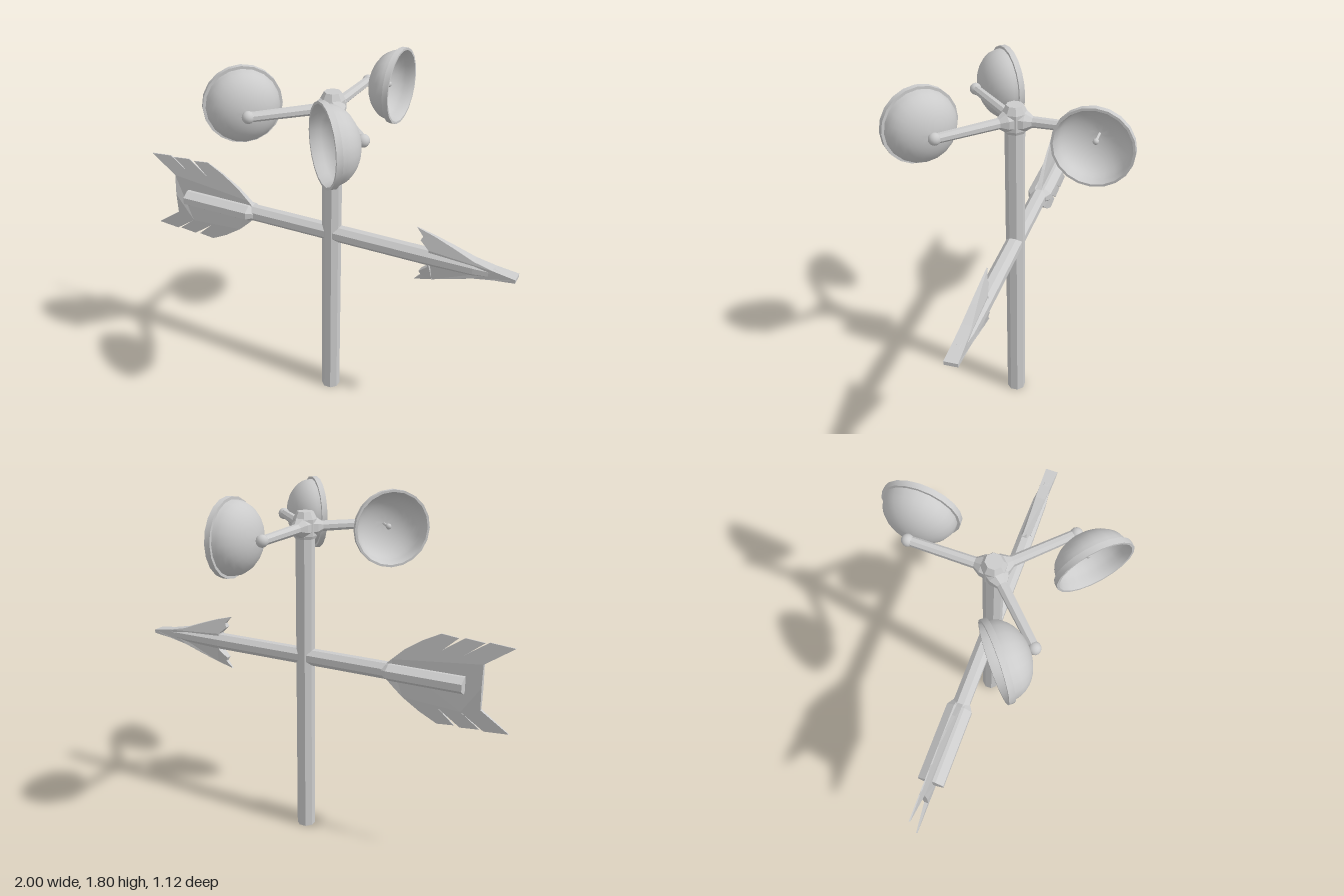
import * as THREE from 'three';
import { toCreasedNormals } from 'three/addons/utils/BufferGeometryUtils.js';

const flat = new THREE.MeshStandardMaterial({ color: 0xcccccc, flatShading: true });
const smooth = new THREE.MeshStandardMaterial({ color: 0xcccccc, side: THREE.DoubleSide });
const PX = 0.065, PZ = 0.02, ARROW_Y = 0.963, ARM_Y = 1.62;

function add(parent, name, geometry, material = flat) {
  const mesh = new THREE.Mesh(geometry, material);
  mesh.name = name;
  parent.add(mesh);
  return mesh;
}

// Eight-sided solid with flats on the axes; profile is [distance along y, half width]
function octagon(profile) {
  const k = 1 / Math.cos(Math.PI / 8);
  const pts = profile.map(([t, r]) => new THREE.Vector2(r * k, t));
  pts.unshift(new THREE.Vector2(0, profile[0][0]));
  pts.push(new THREE.Vector2(0, profile[profile.length - 1][0]));
  return new THREE.LatheGeometry(pts, 8, Math.PI / 8);
}
const alongX = (profile) => octagon(profile).rotateZ(-Math.PI / 2);
const alongBack = (profile) => octagon(profile).rotateX(-Math.PI / 2);

// Mirrored blade from its upper outline, thinning away from the shaft
function blade(upper, core, edge, reach) {
  const lower = upper.slice().reverse().filter(([, y]) => y > 0).map(([x, y]) => [x, -y]);
  const shape = new THREE.Shape(upper.concat(lower).map(([x, y]) => new THREE.Vector2(x, y)));
  const g = new THREE.ExtrudeGeometry(shape, { depth: 2, bevelEnabled: false }).translate(0, 0, -1);
  const p = g.attributes.position;
  for (let i = 0; i < p.count; i++) {
    const f = Math.min(1, Math.abs(p.getY(i)) / reach);
    p.setZ(i, p.getZ(i) * THREE.MathUtils.lerp(core, edge, f));
  }
  return g;
}

// Hollow bowl opening toward +x, with a raised lip
function bowl() {
  const pts = [], n = 10;
  for (let i = 0; i <= n; i++) {
    const a = (i / n) * Math.PI / 2;
    pts.push(new THREE.Vector2(0.172 * Math.sin(a), 0.152 - 0.13 * Math.cos(a)));
  }
  pts.push(new THREE.Vector2(0.185, 0.152), new THREE.Vector2(0.185, 0.18), new THREE.Vector2(0.174, 0.18));
  for (let i = n; i >= 0; i--) {
    const a = (i / n) * Math.PI / 2;
    pts.push(new THREE.Vector2(0.164 * Math.sin(a), 0.152 - 0.12 * Math.cos(a)));
  }
  return toCreasedNormals(new THREE.LatheGeometry(pts, 20).rotateZ(-Math.PI / 2), 0.6);
}

// Arm pointing back, with a cup at its end
function cupArm(angle, twist) {
  const arm = new THREE.Group();
  arm.name = 'cupArm';
  add(arm, 'armRod', alongBack([[0.02, 0.05], [0.052, 0.045], [0.085, 0.024], [0.4, 0.021]]));

  const cup = new THREE.Group();
  cup.name = 'cup';
  cup.position.z = -0.395;
  cup.rotation.y = THREE.MathUtils.degToRad(twist);
  add(cup, 'armEndBall', new THREE.SphereGeometry(0.029, 14, 10), smooth);
  add(cup, 'bowl', bowl(), smooth);
  add(cup, 'cupPin', alongX([[0, 0.006], [0.11, 0.006]]));
  add(cup, 'pinBall', new THREE.SphereGeometry(0.014, 10, 8), smooth).position.x = 0.112;
  arm.add(cup);

  arm.position.set(PX, ARM_Y, PZ);
  arm.rotation.y = THREE.MathUtils.degToRad(angle);
  return arm;
}

export function createModel() {
  const model = new THREE.Group();
  model.name = 'windVane';

  // Upright pole and hub
  add(model, 'pole', octagon([[0, 0.044], [1.6, 0.044]])).position.set(PX, 0, PZ);
  add(model, 'hub', octagon([[1.565, 0.048], [1.58, 0.054], [1.66, 0.054], [1.695, 0.037]]))
    .position.set(PX, 0, PZ);

  // Three cups
  model.add(cupArm(0, 0), cupArm(-135, 0), cupArm(135, -5));

  // Wind arrow
  const arrow = new THREE.Group();
  arrow.name = 'arrow';
  arrow.position.set(0, ARROW_Y, PZ);
  add(arrow, 'shaft', alongX([[-0.77, 0.04], [0.58, 0.04], [0.8, 0.036], [0.9, 0.024], [1, 0.006]]));
  add(arrow, 'tailSleeve', alongX([[-0.78, 0.042], [-0.4, 0.042], [-0.365, 0.027]])).scale.z = 1.5;
  add(arrow, 'arrowHead', blade([
    [0.58, 0], [0.58, 0.045], [0.535, 0.085], [0.545, 0.105], [0.51, 0.143],
    [0.6, 0.118], [0.7, 0.083], [0.8, 0.045], [0.9, 0.023], [1, 0.009],
  ], 0.034, 0.003, 0.14));
  add(arrow, 'tailFeathers', blade([
    [-0.86, 0], [-0.86, 0.112], [-1, 0.208], [-0.88, 0.218], [-0.765, 0.14],
    [-0.86, 0.213], [-0.765, 0.222], [-0.655, 0.145], [-0.735, 0.217], [-0.65, 0.226],
    [-0.56, 0.18], [-0.47, 0.12], [-0.41, 0.065], [-0.375, 0.03],
  ], 0.016, 0.002, 0.23));
  model.add(arrow);
  return model;
}
